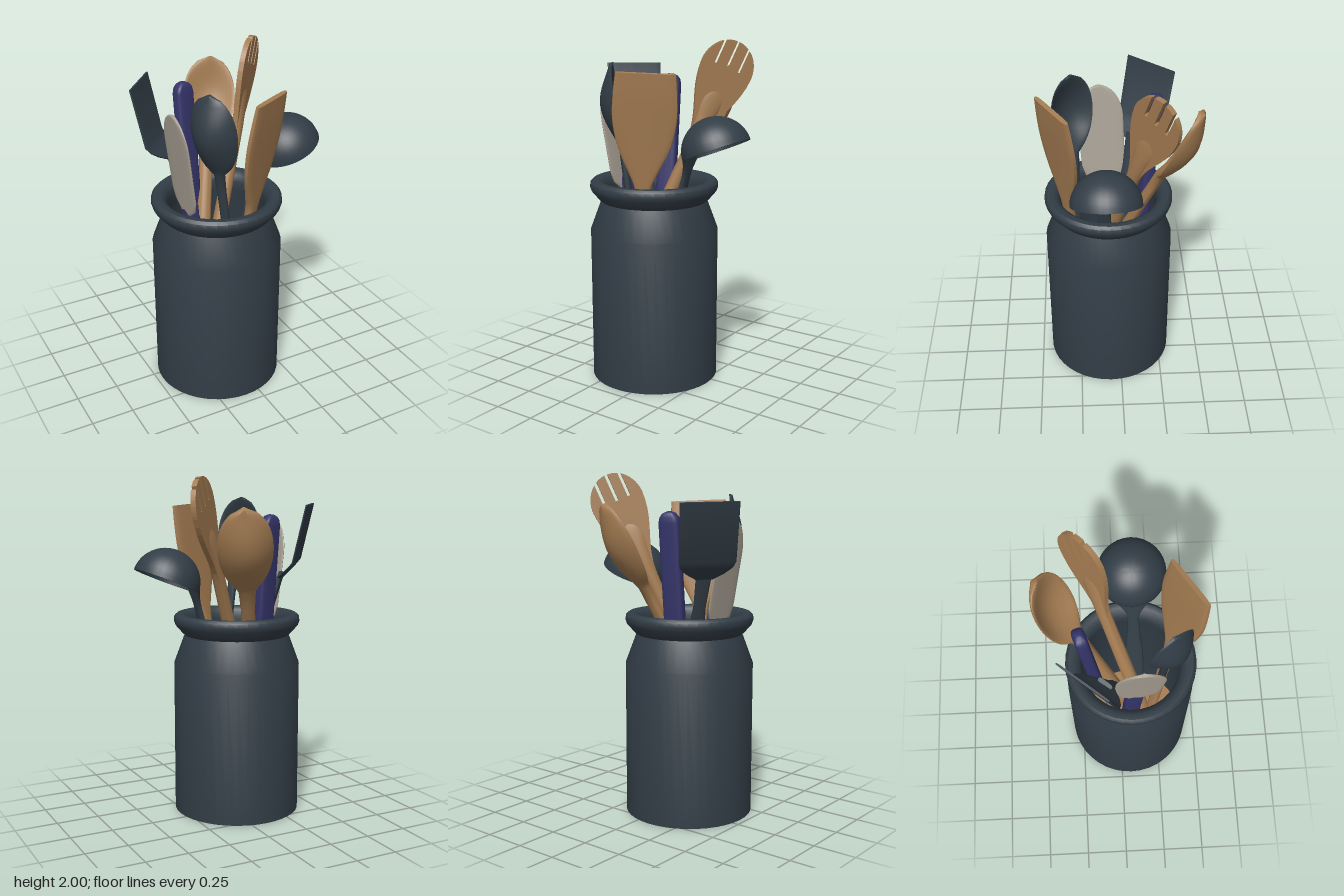
import * as THREE from 'three';
import { toCreasedNormals } from 'three/addons/utils/BufferGeometryUtils.js';

const mat = (name, color, side = THREE.FrontSide) => {
  const m = new THREE.MeshStandardMaterial({ color, side });
  m.name = name;
  return m;
};
const V = (p) => new THREE.Vector3(...p);

// Loft of superellipse sections [y, halfWidth, halfThickness, zOffset, cupping]
function loft(sections, power = 1, K = 24) {
  const pos = [], idx = [];
  const sp = (c) => Math.sign(c) * Math.abs(c) ** power;
  for (const [y, hw, ht, zo = 0, cup = 0] of sections) {
    for (let j = 0; j < K; j++) {
      const a = (j / K) * Math.PI * 2, c = sp(Math.cos(a));
      pos.push(hw * c, y, zo + ht * sp(Math.sin(a)) + cup * c * c);
    }
  }
  const n = sections.length;
  for (let i = 0; i < n - 1; i++) {
    for (let j = 0; j < K; j++) {
      const a = i * K + j, b = i * K + ((j + 1) % K), c = a + K, d = b + K;
      idx.push(a, c, b, b, c, d);
    }
  }
  const first = sections[0], last = sections[n - 1], base = n * K;
  pos.push(0, first[0], first[3] || 0, 0, last[0], last[3] || 0);
  for (let j = 0; j < K; j++) {
    const k = (j + 1) % K, t = (n - 1) * K;
    idx.push(base, j, k, base + 1, t + k, t + j);
  }
  const g = new THREE.BufferGeometry();
  g.setAttribute('position', new THREE.Float32BufferAttribute(pos, 3));
  g.setIndex(idx);
  return toCreasedNormals(g, 0.75);
}

// Smooth [y, halfWidth, halfThickness] stations
function smooth(list, n = 32) {
  return new THREE.CatmullRomCurve3(list.map(V)).getPoints(n).map((p) => [p.x, p.y, p.z]);
}

// Group whose local y runs from point a to point b and whose z faces along the hint
function frame(name, a, b, facing) {
  const A = V(a), y = V(b).sub(A), length = y.length();
  y.normalize();
  const z = V(facing);
  z.addScaledVector(y, -z.dot(y)).normalize();
  const x = new THREE.Vector3().crossVectors(y, z);
  const g = new THREE.Group();
  g.name = name;
  g.quaternion.setFromRotationMatrix(new THREE.Matrix4().makeBasis(x, y, z));
  g.position.copy(A);
  return { g, L: length };
}

function add(group, name, geometry, material) {
  const m = new THREE.Mesh(geometry, material);
  m.name = name;
  group.add(m);
  return m;
}

// Spoon: round handle that widens into a cupped oval bowl
function spoonSections(L, bowl, hw, depth, thick, handle) {
  const s = [[0, handle * 0.8, handle * 0.7], [0.03, handle, handle * 0.8]];
  const neck = L - bowl;
  s.push([neck - 0.12, handle * 0.9, handle * 0.7], [neck, handle * 1.1, handle * 0.7]);
  const N = 18;
  for (let i = 1; i <= N; i++) {
    const t = i / N;
    const oval = Math.sqrt(Math.max(0, 1 - (2 * t - 1) ** 2)) * (0.88 + 0.12 * t);
    const w = Math.max(hw * oval, t < 0.4 ? handle * 1.1 : 0.012);
    const d = depth * Math.sin(Math.PI * t) ** 1.2;
    const th = thick + (handle * 0.7 - thick) * Math.max(0, 1 - t * 3);
    s.push([neck + bowl * t, w, th, -d, d]);
  }
  return s;
}

export function createModel() {
  const model = new THREE.Group();
  model.name = 'utensilCrock';
  const slate = mat('slate', 0x323d46, THREE.DoubleSide);
  const wood = mat('wood', 0xa47c52, THREE.DoubleSide);
  const navy = mat('navy', 0x34346a);
  const steel = mat('steel', 0xa9a195);

  // Crock with shoulder, rolled rim and inner wall
  const crock = new THREE.Group();
  crock.name = 'crock';
  crock.position.set(-0.09, 0, 0.063);
  model.add(crock);
  const profile = [[0.377, 0], [0.377, 0.9], [0.312, 1.075], [0.325, 1.085], [0.368, 1.135], [0.377, 1.16],
    [0.374, 1.185], [0.358, 1.2], [0.325, 1.2], [0.295, 1.18], [0.282, 1.14], [0.285, 1.08], [0.34, 0.88], [0.345, 0.01]]
    .map(([r, y]) => new THREE.Vector2(r, y));
  add(crock, 'crockWall', toCreasedNormals(new THREE.LatheGeometry(profile, 40), 0.7), slate);
  add(crock, 'crockBase', new THREE.CircleGeometry(0.377, 40).rotateX(Math.PI / 2), wood);

  // Wooden turner
  let { g, L } = frame('woodenTurner', [-0.12, 0.1, 0.19], [0.08, 1.84, 0.37], [0.53, 0, 0.85]);
  model.add(g);
  add(g, 'turnerBody', loft(smooth([[0, 0.03, 0.022], [L - 0.95, 0.034, 0.024], [L - 0.66, 0.045, 0.024],
    [L - 0.56, 0.085, 0.022], [L - 0.42, 0.145, 0.02], [L - 0.26, 0.178, 0.019], [L - 0.12, 0.176, 0.018],
    [L, 0.165, 0.014]]), 0.5), wood);

  // Wooden spoon
  ({ g, L } = frame('woodenSpoon', [-0.24, 0.5, 0.13], [0.13, 1.83, -0.43], [-0.4, 0.3, 0.9]));
  model.add(g);
  add(g, 'spoonBody', loft(spoonSections(L, 0.52, 0.165, 0.075, 0.022, 0.045)), wood);

  // Wooden fork: handle, and a slotted head cut from an outline
  ({ g, L } = frame('woodenFork', [-0.2, 0.6, 0.14], [0.3, 1.98, -0.22], [0.72, 0, 0.69]));
  model.add(g);
  const neck = L - 0.54, head = new THREE.Shape();
  const topY = (x) => L - 0.16 + 0.17 * Math.sqrt(Math.max(0, 1 - (x / 0.155) ** 2));
  head.moveTo(0.04, neck - 0.06);
  head.bezierCurveTo(0.06, neck + 0.12, 0.15, neck + 0.2, 0.155, L - 0.16);
  const slots = [0.075, 0, -0.075], w = 0.009;
  for (let i = 1; i <= 30; i++) {
    const a = (i / 30) * Math.PI, x = 0.155 * Math.cos(a);
    while (slots.length && x < slots[0] + w) {
      const s = slots.shift();
      head.lineTo(s + w, topY(s + w));
      head.lineTo(s + w, L - 0.15);
      head.lineTo(s - w, L - 0.15);
      head.lineTo(s - w, topY(s - w));
    }
    if (!(slots.length < 3 && [0.075, 0, -0.075].some((s) => Math.abs(x - s) <= w))) head.lineTo(x, topY(x));
  }
  head.bezierCurveTo(-0.15, neck + 0.2, -0.06, neck + 0.12, -0.04, neck - 0.06);
  head.closePath();
  const headGeo = new THREE.ExtrudeGeometry(head, { depth: 0.03, bevelEnabled: false, curveSegments: 10 });
  add(g, 'forkHead', headGeo.translate(0, 0, -0.015), wood);
  add(g, 'forkHandle', loft(smooth([[0, 0.032, 0.028], [0.04, 0.042, 0.036], [neck - 0.1, 0.042, 0.036],
    [neck + 0.06, 0.055, 0.033], [neck + 0.2, 0.07, 0.022], [neck + 0.28, 0.02, 0.008]])), wood);

  // Dark serving spoon
  ({ g, L } = frame('darkSpoon', [-0.02, 0.3, 0.24], [-0.235, 1.88, 0.265], [0.83, 0, -0.55]));
  model.add(g);
  add(g, 'darkSpoonBody', loft(spoonSections(L, 0.47, 0.15, 0.085, 0.011, 0.03)), slate);

  // Dark turner: flat blade curling in at its heel, plus handle
  ({ g, L } = frame('darkTurner', [-0.36, 1.42, -0.13], [-0.43, 1.845, -0.2], [-0.77, 0, -0.64]));
  model.add(g);
  add(g, 'darkTurnerBlade', loft([[-0.02, 0.05, 0.012, -0.07], [0.02, 0.11, 0.01, -0.045],
    [0.06, 0.15, 0.008, -0.02], [0.1, 0.162, 0.007, 0], [L, 0.167, 0.006, 0]], 0.35), slate);
  ({ g, L } = frame('darkTurnerHandle', [0.03, 0.2, 0.1], [-0.31, 1.45, -0.09], [-0.77, 0, -0.64]));
  model.add(g);
  add(g, 'darkTurnerGrip', loft([[0, 0.045, 0.025], [L - 0.35, 0.045, 0.025], [L - 0.2, 0.035, 0.018],
    [L, 0.045, 0.014]], 0.6), slate);

  // Ladle: upturned bowl and flared handle
  const bowl = frame('ladle', [0.355, 1.41, 0.087], [-0.025, 2.33, 0.087], [0, 0, 1]).g;
  model.add(bowl);
  const shell = [];
  for (let i = 0; i <= 12; i++) {
    const a = (i / 12) * Math.PI / 2;
    shell.push(new THREE.Vector2(0.198 * Math.cos(a), 0.19 * Math.sin(a)));
  }
  for (let i = 12; i >= 0; i--) {
    const a = (i / 12) * Math.PI / 2;
    shell.push(new THREE.Vector2(0.18 * Math.cos(a), 0.172 * Math.sin(a)));
  }
  shell.push(shell[0].clone());
  add(bowl, 'ladleBowl', toCreasedNormals(new THREE.LatheGeometry(shell, 32), 0.7), slate);
  ({ g, L } = frame('ladleHandle', [-0.1, 0.3, 0.1], [0.19, 1.38, 0.088], [1, 0, 0]));
  model.add(g);
  add(g, 'ladleGrip', loft(smooth([[0, 0.06, 0.025], [L - 0.5, 0.055, 0.024], [L - 0.25, 0.036, 0.018],
    [L - 0.12, 0.036, 0.015], [L - 0.05, 0.065, 0.012], [L, 0.1, 0.01]]), 0.7), slate);

  // Knife standing blade down: rounded handle above
  ({ g, L } = frame('knife', [-0.15, 0.95, -0.13], [-0.16, 1.79, -0.215], [0.29, 0, 0.95]));
  model.add(g);
  add(g, 'knifeHandle', loft([[0, 0.06, 0.036], [L - 0.06, 0.06, 0.036], [L - 0.03, 0.052, 0.034],
    [L - 0.01, 0.036, 0.028], [L, 0.015, 0.015]], 0.5), navy);
  add(g, 'knifeBlade', loft([[-0.85, 0.02, 0.004], [-0.7, 0.06, 0.006], [-0.05, 0.085, 0.007],
    [0.02, 0.085, 0.007]], 0.5), steel);

  // Cake server: broad rounded blade above a navy handle
  ({ g, L } = frame('cakeServer', [-0.29, 1.15, 0.08], [-0.375, 1.74, 0.11], [-1, 0, 0.06]));
  model.add(g);
  const blade = [[-0.02, 0.05, 0.012], [0.03, 0.11, 0.011], [0.1, 0.13, 0.01]];
  for (let i = 0; i <= 8; i++) {
    const a = (i / 8) * Math.PI / 2;
    blade.push([L - 0.2 + 0.2 * Math.sin(a), Math.max(0.01, 0.135 * Math.cos(a)), 0.009]);
  }
  add(g, 'serverBlade', loft(blade, 0.6), steel);
  ({ g, L } = frame('cakeServerHandle', [-0.19, 0.3, 0.05], [-0.27, 1.2, 0.08], [-1, 0, 0.06]));
  model.add(g);
  add(g, 'serverGrip', loft([[0, 0.04, 0.03], [0.04, 0.05, 0.036], [L - 0.03, 0.052, 0.036], [L, 0.04, 0.028]], 0.5), navy);

  return model;
}
